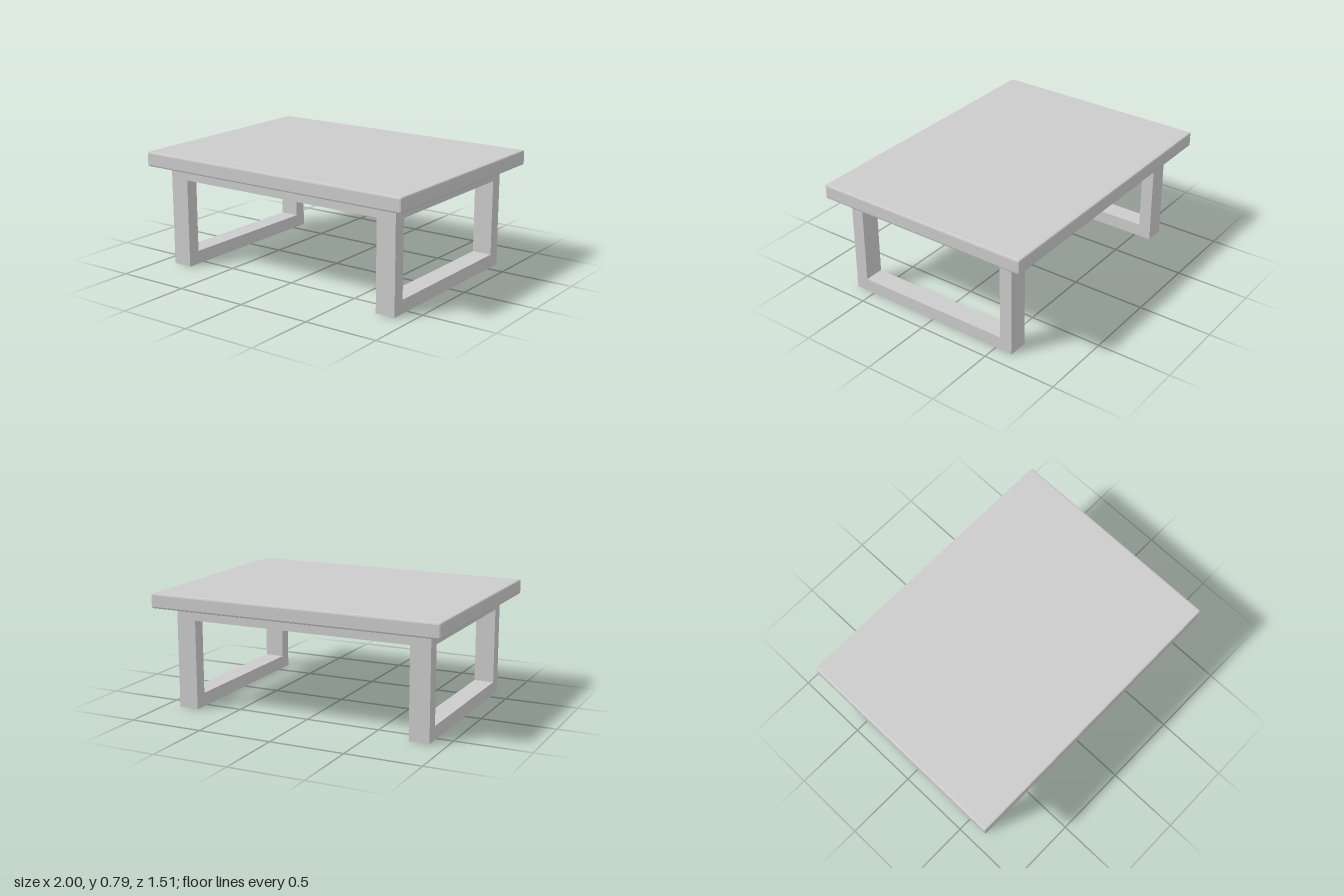
import * as THREE from 'three';
import { RoundedBoxGeometry } from 'three/addons/geometries/RoundedBoxGeometry.js';

const TOP_Y = 0.785, TOP_T = 0.1, RAIL_Y = 0.6;
const BACK = -0.62, FRONT = 0.64, BAR = 0.087;
const FRAME_IN = 0.755, FRAME_OUT = 0.89;

export function createModel() {
  const table = new THREE.Group();
  table.name = 'coffeeTable';
  const material = new THREE.MeshStandardMaterial({ color: 0xcccccc, flatShading: true });

  const add = (name, geometry, x, y, z) => {
    const mesh = new THREE.Mesh(geometry, material);
    mesh.name = name;
    mesh.position.set(x, y, z);
    table.add(mesh);
  };

  // Slab top with finely eased edges
  add('tableTop', new RoundedBoxGeometry(2, TOP_T, 1.51, 1, 0.012), 0, TOP_Y - TOP_T / 2, 0);

  // Closed rectangular leg frames, drawn in z-y and extruded along x
  const underside = TOP_Y - TOP_T;
  const outline = new THREE.Shape([
    new THREE.Vector2(BACK, 0), new THREE.Vector2(FRONT, 0),
    new THREE.Vector2(FRONT, underside), new THREE.Vector2(BACK, underside),
  ]);
  outline.holes.push(new THREE.Path([
    new THREE.Vector2(BACK + BAR, 0.09), new THREE.Vector2(BACK + BAR, RAIL_Y),
    new THREE.Vector2(FRONT - BAR, RAIL_Y), new THREE.Vector2(FRONT - BAR, 0.09),
  ]));
  const width = FRAME_OUT - FRAME_IN;
  const frame = new THREE.ExtrudeGeometry(outline, { depth: width, bevelEnabled: false });
  frame.rotateY(-Math.PI / 2).translate(width / 2, 0, 0);
  const frameX = (FRAME_IN + FRAME_OUT) / 2;
  add('leftLegFrame', frame, frameX, 0, 0);
  add('rightLegFrame', frame, -frameX, 0, 0);

  // Long rails joining the frames under the top
  const rail = new THREE.BoxGeometry(2 * FRAME_IN, underside - RAIL_Y, BAR);
  const railY = (underside + RAIL_Y) / 2;
  add('frontRail', rail, 0, railY, FRONT - BAR / 2);
  add('backRail', rail, 0, railY, BACK + BAR / 2);

  return table;
}
